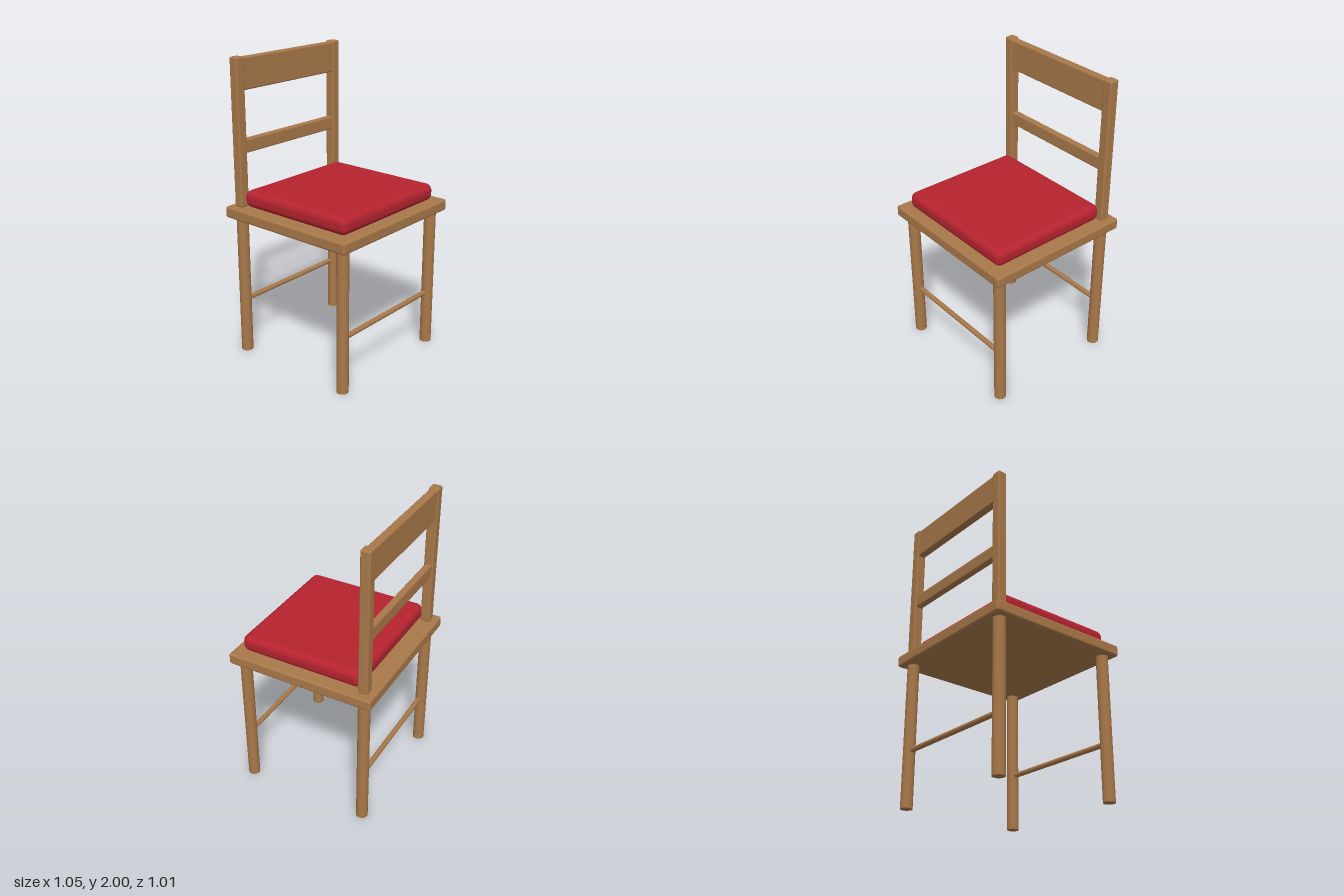
import * as THREE from 'three';
import { RoundedBoxGeometry } from 'three/addons/geometries/RoundedBoxGeometry.js';

export function createModel() {
  const chair = new THREE.Group();
  chair.name = 'chair';

  const wood = new THREE.MeshStandardMaterial({ color: 0xa87849 });
  wood.name = 'wood';
  const fabric = new THREE.MeshStandardMaterial({ color: 0xb5232f });
  fabric.name = 'red fabric';

  const add = (name, geometry, material, x, y, z) => {
    const mesh = new THREE.Mesh(geometry, material);
    mesh.name = name;
    mesh.position.set(x, y, z);
    chair.add(mesh);
    return mesh;
  };

  // Rounded box given by its centre x and z, and its bottom and top heights
  const slab = (name, material, w, d, bottom, top, x, z, radius, segments = 3) =>
    add(name, new RoundedBoxGeometry(w, top - bottom, d, segments, radius),
      material, x, (bottom + top) / 2, z);

  const legX = 0.448, legZ = 0.427, legHeight = 0.97;

  // Seat board and cushion
  slab('seat', wood, 1.052, 1.006, 0.96, 1.036, 0, 0, 0.015);
  slab('cushion', fabric, 0.916, 0.844, 1.036, 1.15, 0, 0.023, 0.045, 6);

  // Round legs with a stretcher across the front pair and the back pair
  for (const [end, sz] of [['front', 1], ['back', -1]]) {
    for (const [side, sx] of [['Left', 1], ['Right', -1]]) {
      add(end + side + 'Leg', new THREE.CylinderGeometry(0.039, 0.039, legHeight, 24),
        wood, sx * legX, legHeight / 2, sz * legZ);
    }
    const bar = add(end + 'Stretcher', new THREE.CylinderGeometry(0.017, 0.017, 2 * legX, 16),
      wood, 0, 0.372, sz * legZ);
    bar.rotation.z = Math.PI / 2;
  }

  // Back posts
  for (const [side, sx] of [['left', 1], ['right', -1]]) {
    slab(side + 'BackPost', wood, 0.067, 0.066, 1.034, 2, sx * 0.446, -0.427, 0.012);
  }

  // Back rails between the posts
  slab('topRail', wood, 0.86, 0.053, 1.788, 1.992, 0, -0.427, 0.01);
  slab('middleRail', wood, 0.86, 0.046, 1.384, 1.474, 0, -0.427, 0.01);

  return chair;
}
